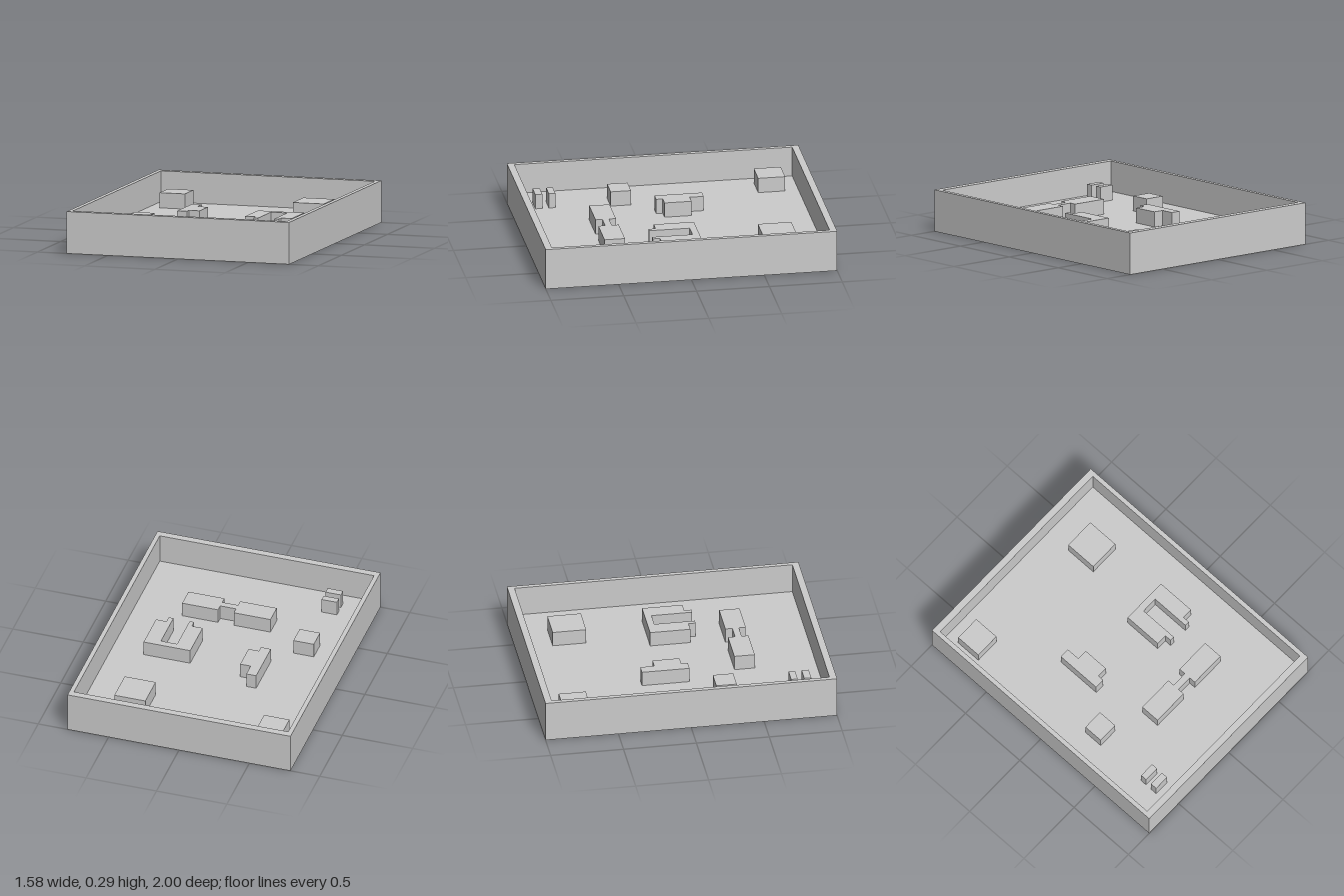
import * as THREE from 'three';

const W = 0.792, D = 1, H = 0.287;      // outer half width, half depth, height
const IW = 0.761, ID = 0.953;           // inner half width, half depth
const FLOOR = 0.077, BLOCK_TOP = 0.181;

const rect = (x0, z0, x1, z1) => [[x0, z0], [x1, z0], [x1, z1], [x0, z1]];

// Footprints as [x, z] corners
const footprints = {
  cornerBlock: rect(-0.681, -0.861, -0.501, -0.676),
  farBlock: rect(0.314, -0.766, 0.534, -0.536),
  squareBlock: rect(-0.571, 0.209, -0.426, 0.349),
  smallBlockBack: rect(-0.571, 0.722, -0.462, 0.767),
  smallBlockFront: rect(-0.571, 0.812, -0.462, 0.86),
  steppedBlock: [[-0.311, -0.258], [-0.241, -0.258], [-0.241, -0.162], [-0.167, -0.162],
    [-0.167, 0.023], [-0.241, 0.023], [-0.241, 0.068], [-0.311, 0.068]],
  courtyardBlock: [[0.203, -0.116], [0.534, -0.116], [0.534, 0.16], [0.46, 0.16], [0.46, 0.209],
    [0.426, 0.209], [0.426, -0.069], [0.311, -0.069], [0.311, 0.209], [0.279, 0.209],
    [0.279, 0.16], [0.203, 0.16]],
  linkedBlocks: [[-0.204, 0.394], [0.056, 0.394], [0.056, 0.442], [0.168, 0.442], [0.168, 0.394],
    [0.423, 0.394], [0.423, 0.534], [0.168, 0.534], [0.168, 0.487], [0.056, 0.487],
    [0.056, 0.534], [-0.204, 0.534]],
};

export function createModel() {
  const group = new THREE.Group();
  const material = new THREE.MeshStandardMaterial({ color: 0xcccccc, flatShading: true });

  const toPath = (points) => points.map(([x, z]) => new THREE.Vector2(x, -z));

  // Extrude a plan footprint upwards from y0 to y1; a hole winds the opposite way
  function addPrism(name, points, y0, y1, hole) {
    const shape = new THREE.Shape(toPath(points));
    if (hole) shape.holes.push(new THREE.Path(toPath(hole).reverse()));
    const geometry = new THREE.ExtrudeGeometry(shape, { depth: y1 - y0, bevelEnabled: false });
    geometry.rotateX(-Math.PI / 2).translate(0, y0, 0);
    const mesh = new THREE.Mesh(geometry, material);
    mesh.name = name;
    group.add(mesh);
  }

  // Tray: solid base slab and a thin surrounding wall
  addPrism('base', rect(-W, -D, W, D), 0, FLOOR);
  addPrism('wall', rect(-W, -D, W, D), FLOOR, H, rect(-IW, -ID, IW, ID));

  // Blocks standing on the tray floor
  for (const [name, points] of Object.entries(footprints)) {
    addPrism(name, points, FLOOR, BLOCK_TOP);
  }
  return group;
}
